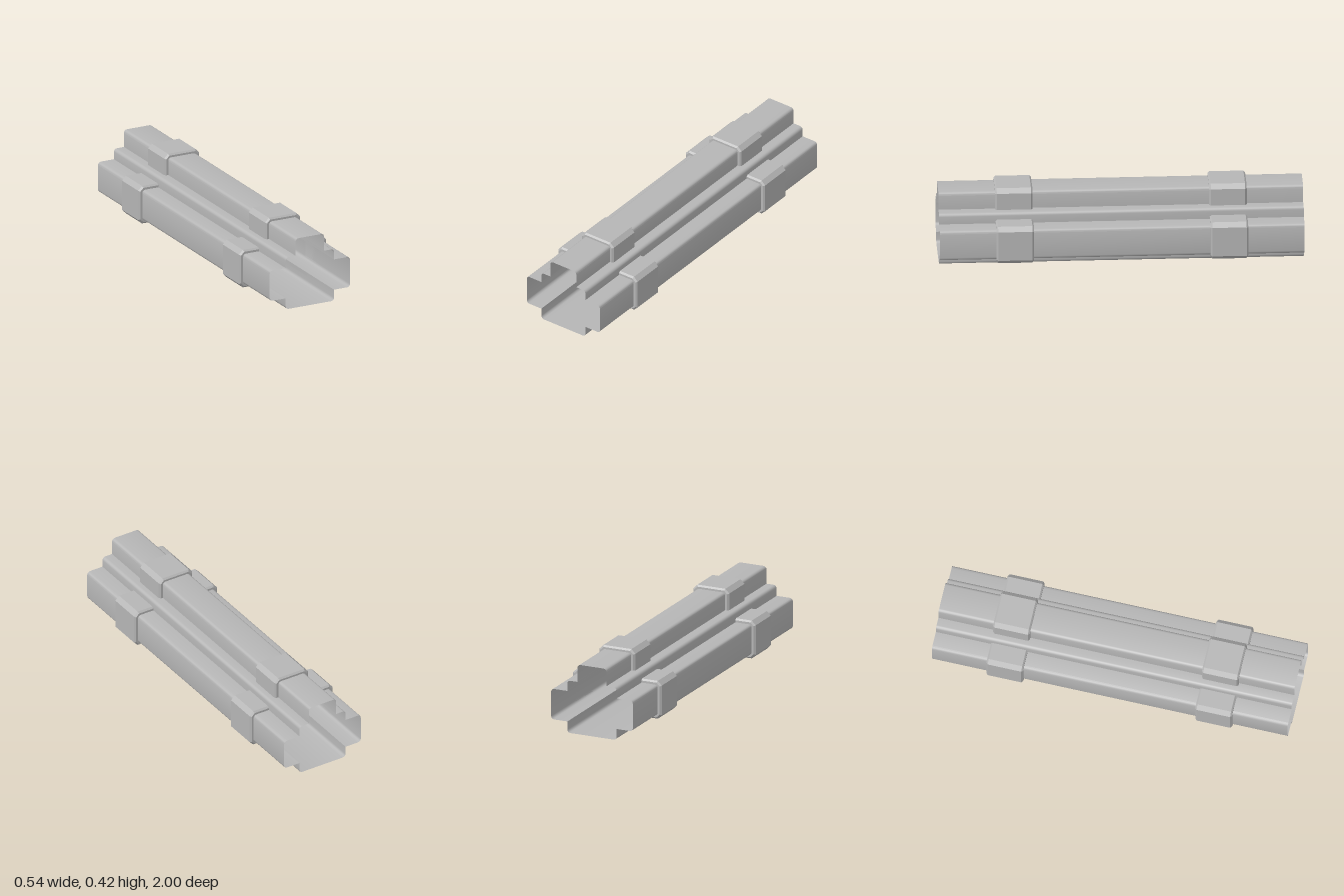
import * as THREE from 'three';
import { toCreasedNormals } from 'three/addons/utils/BufferGeometryUtils.js';

const R = 0.018; // fold radius
const metal = new THREE.MeshStandardMaterial({ color: 0xb6b6b6, side: THREE.DoubleSide });
metal.name = 'grey metal';

// Points of a rounded corner at p, between neighbours a and b
function arc(a, p, b, steps = 4) {
  const ua = a.clone().sub(p).normalize(), ub = b.clone().sub(p).normalize();
  const out = [];
  for (let i = 0; i <= steps; i++) {
    const t = (i / steps) * Math.PI / 2;
    out.push(p.clone()
      .addScaledVector(ua, R * (1 - Math.sin(t)))
      .addScaledVector(ub, R * (1 - Math.cos(t))));
  }
  return out;
}

// Geometry with smooth folds and sharp edges from a list of triangle corners
function fromTriangles(points) {
  const g = new THREE.BufferGeometry().setFromPoints(points);
  return toCreasedNormals(g, 0.5);
}

// Thin folded sheet: stepped closed outline, open at both ends
function sheetGeometry() {
  const half = [[0.15, 0], [0.15, 0.064], [0.249, 0.064], [0.249, 0.24],
    [0.15, 0.24], [0.15, 0.301], [0.088, 0.301], [0.088, 0.401]];
  const corners = [...half, ...half.map(([x, y]) => [-x, y]).reverse()]
    .map(([x, y]) => new THREE.Vector2(x, y));
  const outline = corners.flatMap((p, i) => {
    const a = corners.at(i - 1), b = corners[(i + 1) % corners.length];
    const convex = p.clone().sub(a).cross(b.clone().sub(p)) > 0;
    return convex ? arc(a, p, b) : [p];
  });
  const tris = [];
  outline.forEach((p, i) => {
    const q = outline[(i + 1) % outline.length];
    const A = new THREE.Vector3(p.x, p.y, 1), B = new THREE.Vector3(p.x, p.y, -1);
    const C = new THREE.Vector3(q.x, q.y, -1), D = new THREE.Vector3(q.x, q.y, 1);
    tris.push(A, B, C, A, C, D);
  });
  return fromTriangles(tris);
}

// U-shaped path at an offset from the sheet, with chamfered corners
function chamferPath(w, d, offset, leg) {
  const W = w + offset, D = d + offset, pts = [new THREE.Vector2(-W, 0)];
  for (let i = 0; i <= 4; i++) pts.push(new THREE.Vector2(-W + leg * i / 4, D - leg + leg * i / 4));
  for (let i = 0; i <= 4; i++) pts.push(new THREE.Vector2(W - leg + leg * i / 4, D - leg * i / 4));
  pts.push(new THREE.Vector2(W, 0));
  return pts;
}

// Clamp: U-shaped band, bevelled along its outer rims, opening downward
function clampGeometry() {
  const w = 0.088, d = 0.099, h = 0.103, bevel = 0.009;
  const v = (x, y) => new THREE.Vector2(x, y);
  const inner = [v(-w, 0), ...arc(v(-w, 0), v(-w, d), v(w, d)),
    ...arc(v(-w, d), v(w, d), v(w, 0)), v(w, 0)];
  const mid = chamferPath(w, d, 0.012, 0.019);
  const outer = chamferPath(w, d, 0.021, 0.024);
  const ring = [[inner, -h], [inner, h], [mid, h],
    [outer, h - bevel], [outer, bevel - h], [mid, -h]];
  const sections = inner.map((_, i) =>
    ring.map(([path, z]) => new THREE.Vector3(path[i].x, path[i].y, z)));
  const tris = [];
  for (let i = 0; i < sections.length - 1; i++) {
    const s = sections[i], t = sections[i + 1];
    for (let k = 0; k < 6; k++) {
      const n = (k + 1) % 6;
      tris.push(s[k], t[k], t[n], s[k], t[n], s[n]);
    }
  }
  // End caps
  const first = sections[0], last = sections.at(-1);
  for (let k = 1; k < 5; k++) {
    tris.push(first[0], first[k], first[k + 1]);
    tris.push(last[0], last[k + 1], last[k]);
  }
  return fromTriangles(tris);
}

export function createModel() {
  const model = new THREE.Group();
  model.name = 'clamped channel';

  const sheet = new THREE.Mesh(sheetGeometry(), metal);
  sheet.name = 'foldedSheet';
  model.add(sheet);

  // Three clamps at each station: top, left and right
  const clamp = clampGeometry();
  const places = [
    ['topClamp', 0, 0.301, 0],
    ['leftClamp', 0.15, 0.152, -Math.PI / 2],
    ['rightClamp', -0.15, 0.152, Math.PI / 2],
  ];
  for (const z of [0.587, -0.587]) {
    for (const [name, x, y, turn] of places) {
      const mesh = new THREE.Mesh(clamp, metal);
      mesh.name = (z > 0 ? 'front ' : 'rear ') + name;
      mesh.position.set(x, y, z);
      mesh.rotation.z = turn;
      model.add(mesh);
    }
  }
  return model;
}
